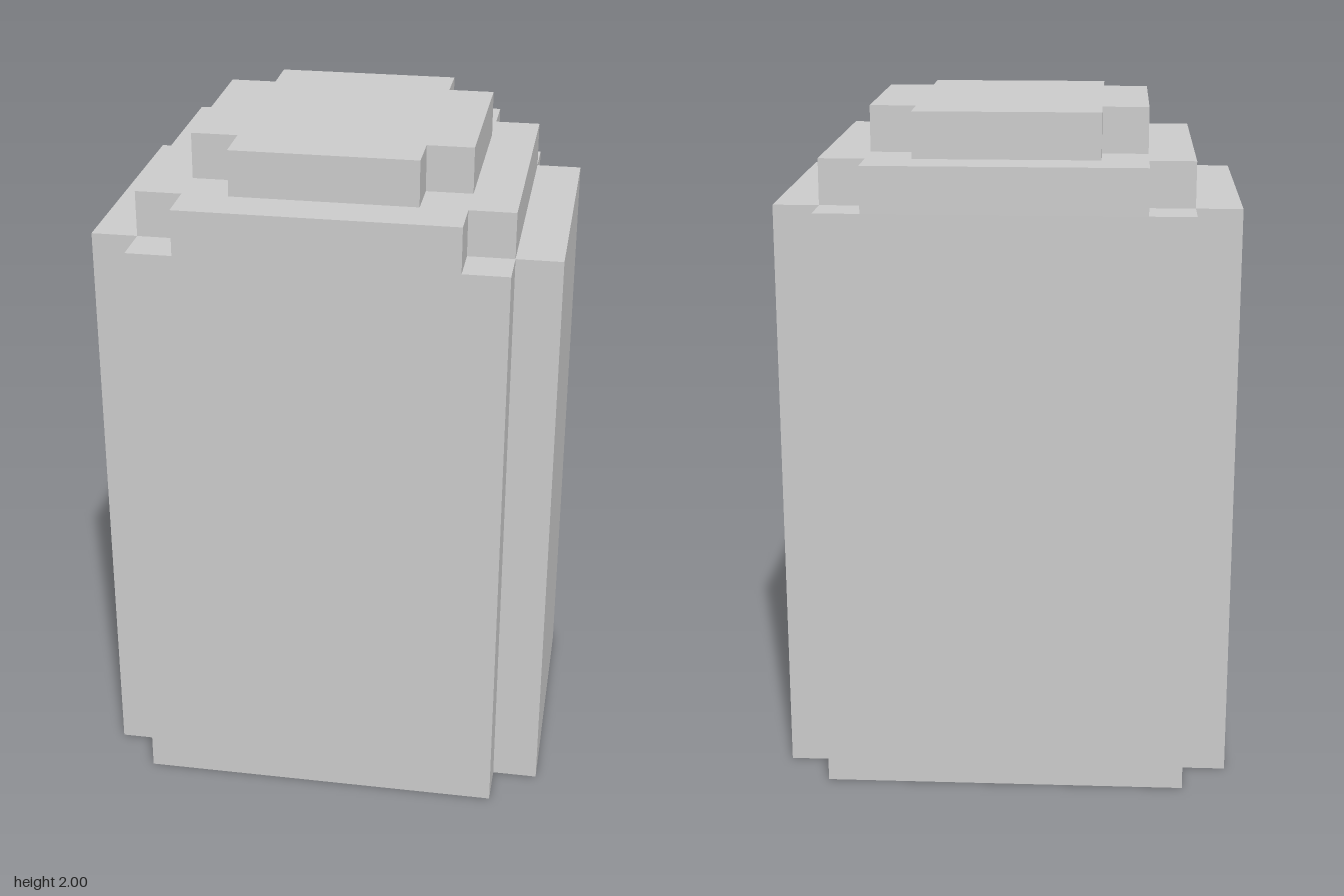
import * as THREE from 'three';

const U = 2 / 15; // one block step; the model is 15 steps tall

// Rectangle outline with a one-step square notch in each corner
function notchedShape(hx, hz) {
  const shape = new THREE.Shape();
  const corners = [[1, 1], [-1, 1], [-1, -1], [1, -1]];
  const points = corners.flatMap(([sx, sz], i) => {
    const notch = [[hx, hz - 1], [hx - 1, hz - 1], [hx - 1, hz]];
    if (i % 2) notch.reverse();
    return notch.map(([x, z]) => new THREE.Vector2(sx * x * U, sz * z * U));
  });
  return shape.setFromPoints(points);
}

export function createModel() {
  const group = new THREE.Group();
  const material = new THREE.MeshStandardMaterial({ color: 0xcccccc, flatShading: true });

  // Stacked tiers: half width, half depth, bottom and top, all in steps
  const tiers = [
    ['body', 5, 4, 0, 13],
    ['shoulder', 4, 4, 13, 14],
    ['cap', 3, 3, 14, 15],
  ];
  for (const [name, hx, hz, y0, y1] of tiers) {
    const geometry = new THREE.ExtrudeGeometry(notchedShape(hx, hz), {
      depth: (y1 - y0) * U,
      bevelEnabled: false,
    });
    geometry.rotateX(-Math.PI / 2);
    const mesh = new THREE.Mesh(geometry, material);
    mesh.name = name;
    mesh.position.y = y0 * U;
    group.add(mesh);
  }
  return group;
}
